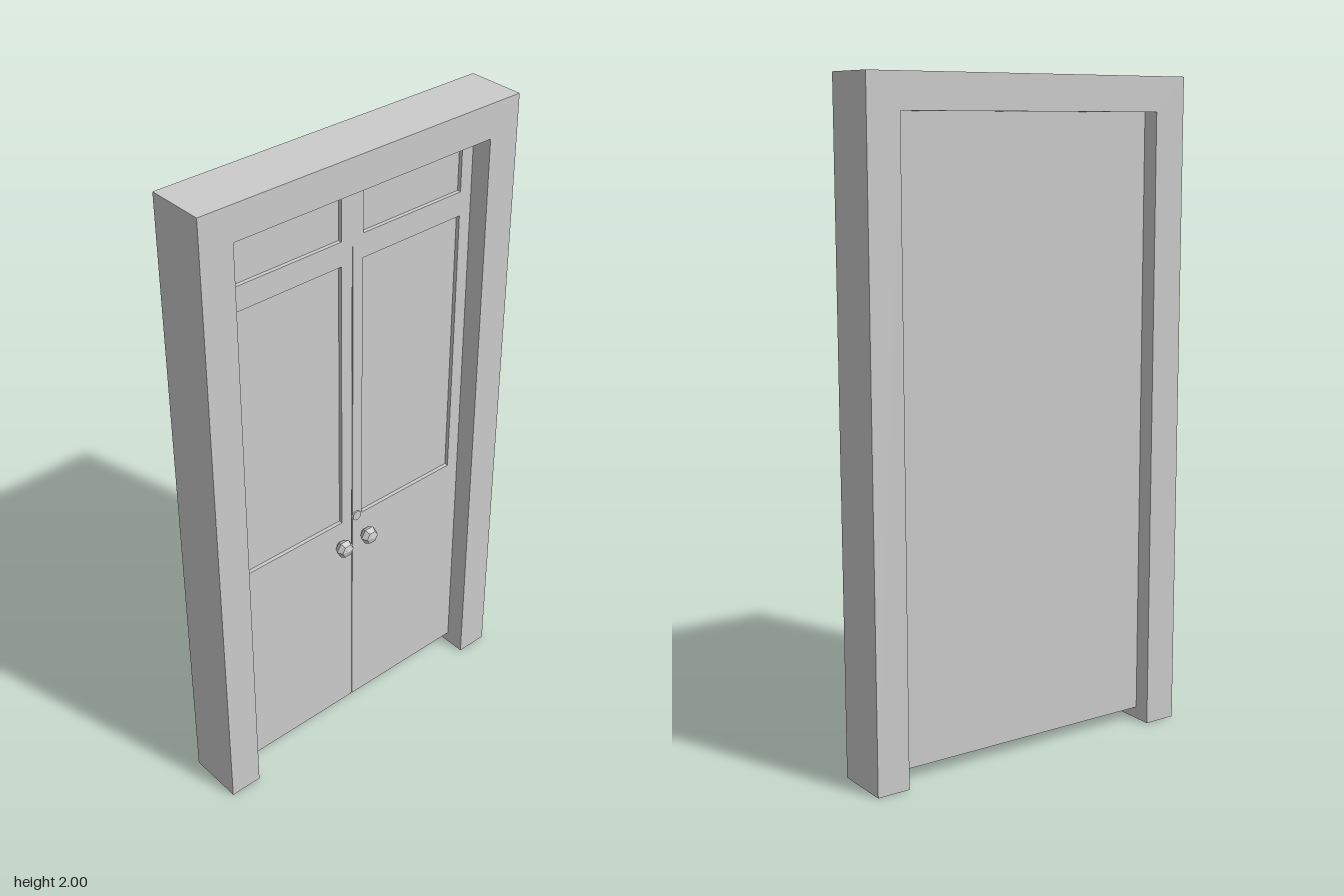
import * as THREE from 'three';

const material = new THREE.MeshStandardMaterial({ color: 0xcccccc, flatShading: true });

function add(parent, name, geometry, x = 0, y = 0, z = 0) {
  const mesh = new THREE.Mesh(geometry, material);
  mesh.name = name;
  mesh.position.set(x, y, z);
  parent.add(mesh);
  return mesh;
}

function outline(path, x0, y0, x1, y1) {
  path.moveTo(x0, y0);
  path.lineTo(x1, y0);
  path.lineTo(x1, y1);
  path.lineTo(x0, y1);
  path.closePath();
  return path;
}

// Flat board with rectangular openings, given as [x0, y0, x1, y1]
function board(rect, holes, depth) {
  const shape = outline(new THREE.Shape(), ...rect);
  for (const h of holes) shape.holes.push(outline(new THREE.Path(), ...h));
  return new THREE.ExtrudeGeometry(shape, { depth, bevelEnabled: false });
}

export function createModel() {
  const model = new THREE.Group();
  model.name = 'doubleDoor';

  const W = 0.542, H = 2, D = 0.178;         // frame half width, height, depth
  const w = 0.439, top = 1.897, bottom = 0.037; // door opening
  const front = 0.025, back = -0.035, recess = 0.012;
  const split = 1.7, gap = 0.0015;

  // Door frame: two posts and a head in one piece
  const frame = new THREE.Shape();
  [[-W, 0], [-w, 0], [-w, top], [w, top], [w, 0], [W, 0], [W, H], [-W, H]]
    .forEach(([x, y], i) => (i ? frame.lineTo(x, y) : frame.moveTo(x, y)));
  add(model, 'doorFrame',
    new THREE.ExtrudeGeometry(frame, { depth: D, bevelEnabled: false }), 0, 0, -D / 2);

  // Core behind the leaves; its front is the recessed pane surface
  const coreDepth = front - recess - back;
  add(model, 'panelCore', new THREE.BoxGeometry(2 * w, top - bottom, coreDepth),
    0, (top + bottom) / 2, back + coreDepth / 2);

  // Transom with two panes
  add(model, 'transom', board([-w, split, w, top],
    [[-0.401, 1.728, -0.04, 1.871], [0.037, 1.728, 0.398, 1.871]], recess),
    0, 0, front - recess);

  // Two leaves, each with a tall pane, separated by a fine seam
  add(model, 'rightLeaf', board([-w, bottom, -gap, split],
    [[-0.401, 0.777, -0.04, 1.653]], recess), 0, 0, front - recess);
  add(model, 'leftLeaf', board([gap, bottom, w, split],
    [[0.037, 0.777, 0.398, 1.653]], recess), 0, 0, front - recess);

  // Faceted knobs on short stems
  for (const [side, x] of [['right', -0.05], ['left', 0.048]]) {
    const knob = new THREE.Group();
    knob.name = side + 'Knob';
    knob.position.set(x, 0.697, front);
    model.add(knob);
    const stem = new THREE.CylinderGeometry(0.012, 0.012, 0.02, 6).rotateX(Math.PI / 2);
    add(knob, 'stem', stem, 0, 0, 0.008);
    const ball = new THREE.SphereGeometry(0.03, 6, 4).rotateX(Math.PI / 2).scale(1, 1, 0.75);
    add(knob, 'knobHead', ball, 0, 0, 0.024);
  }

  // Small round lock above the knobs
  add(model, 'lock', new THREE.CylinderGeometry(0.016, 0.016, 0.016, 12).rotateX(Math.PI / 2),
    0.016, 0.778, front - 0.003);

  return model;
}
